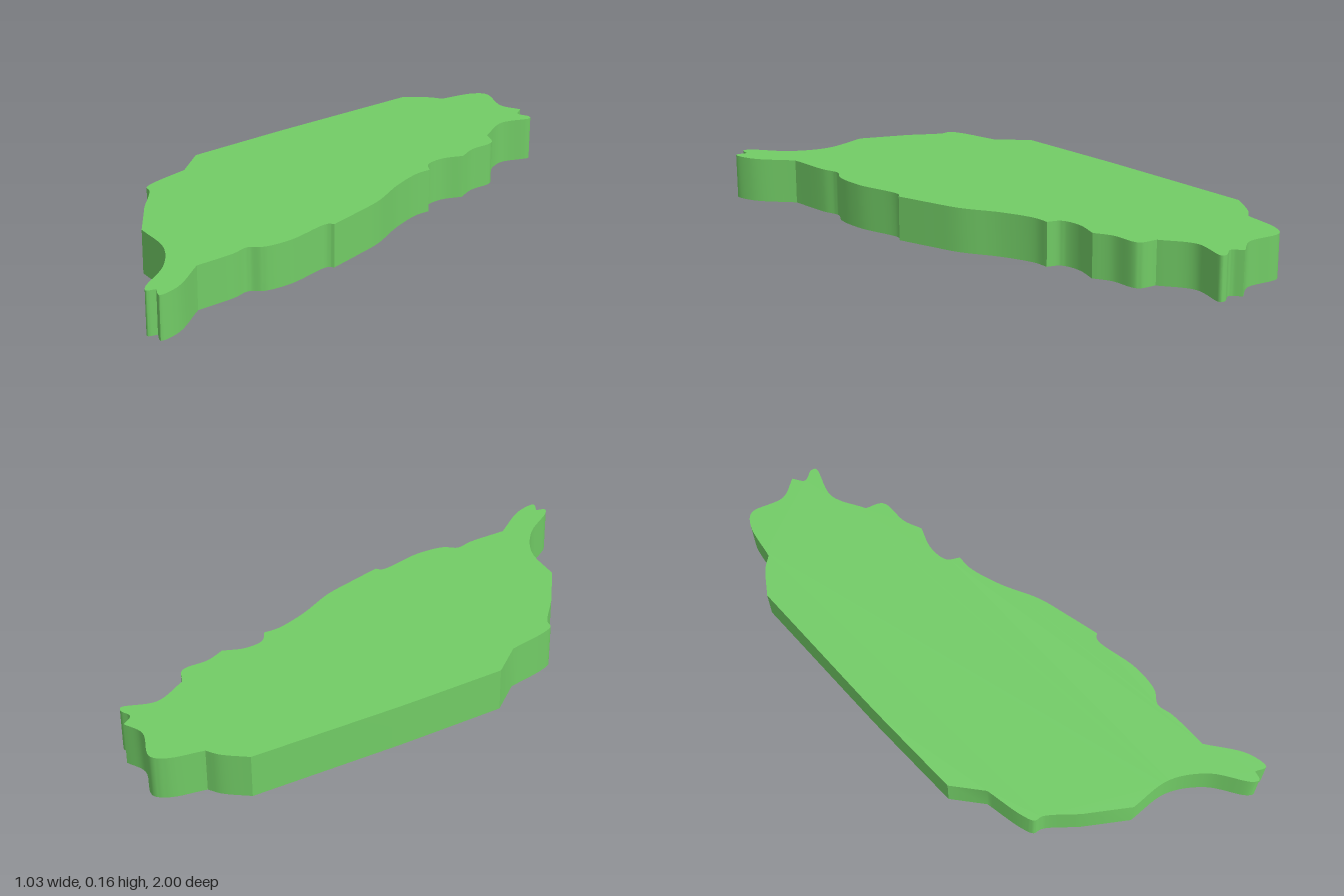
import * as THREE from 'three';
import { toCreasedNormals } from 'three/addons/utils/BufferGeometryUtils.js';

const HEIGHT = 0.162;

// Coastline stretches as x, z pairs. Each is a smooth curve that starts where
// the one before it ends, so corners fall only between stretches.
const STRETCHES = [
  // north shore and tip
  [0.09, -0.88, 0.14, -0.886],
  [0.23, -0.985, 0.28, -1, 0.37, -0.912, 0.45, -0.905],
  // north-east hook
  [0.457, -0.858, 0.5, -0.852, 0.512, -0.836, 0.428, -0.75, 0.418, -0.615],
  // east shore
  [0.455, -0.56, 0.412, -0.47, 0.402, -0.4],
  [0.34, -0.345, 0.314, -0.28, 0.335, -0.235],
  [0.308, -0.19, 0.28, -0.07, 0.268, 0.08, 0.24, 0.185, 0.203, 0.31],
  [0.18, 0.318, 0.12, 0.475, 0.06, 0.56, 0.012, 0.585, -0.01, 0.645, -0.08, 0.77],
  // southern tail with its notch
  [-0.068, 0.93, -0.095, 1, -0.122, 0.968],
  [-0.147, 0.99, -0.161, 0.97, -0.176, 0.82, -0.24, 0.695, -0.367, 0.607],
  // west shore
  [-0.443, 0.445],
  [-0.49, 0.32, -0.512, 0.3, -0.508, 0.255, -0.46, 0.115],
  [-0.482, -0.02],
  [-0.302, -0.34, -0.27, -0.395],
  [-0.005, -0.84],
];

function outlinePoints() {
  const points = [];
  let start = new THREE.Vector3(-0.005, 0.84, 0);
  for (const stretch of STRETCHES) {
    const knots = [start];
    for (let i = 0; i < stretch.length; i += 2) {
      knots.push(new THREE.Vector3(stretch[i], -stretch[i + 1], 0));
    }
    const steps = knots.length > 2 ? (knots.length - 1) * 7 : 1;
    const curve = new THREE.CatmullRomCurve3(knots, false, 'centripetal');
    for (const p of curve.getPoints(steps).slice(0, -1)) points.push(new THREE.Vector2(p.x, p.y));
    start = knots[knots.length - 1];
  }
  return points;
}

export function createModel() {
  const group = new THREE.Group();
  group.name = 'islandModel';

  // One flat slab raised from the coastline, laid down with north towards -z
  const geometry = new THREE.ExtrudeGeometry(new THREE.Shape(outlinePoints()), {
    depth: HEIGHT, bevelEnabled: false, steps: 1,
  });
  geometry.rotateX(-Math.PI / 2);

  const material = new THREE.MeshStandardMaterial({ color: 0x72cc66 });
  const slab = new THREE.Mesh(toCreasedNormals(geometry, 0.6), material);
  slab.name = 'islandSlab';
  group.add(slab);
  return group;
}
